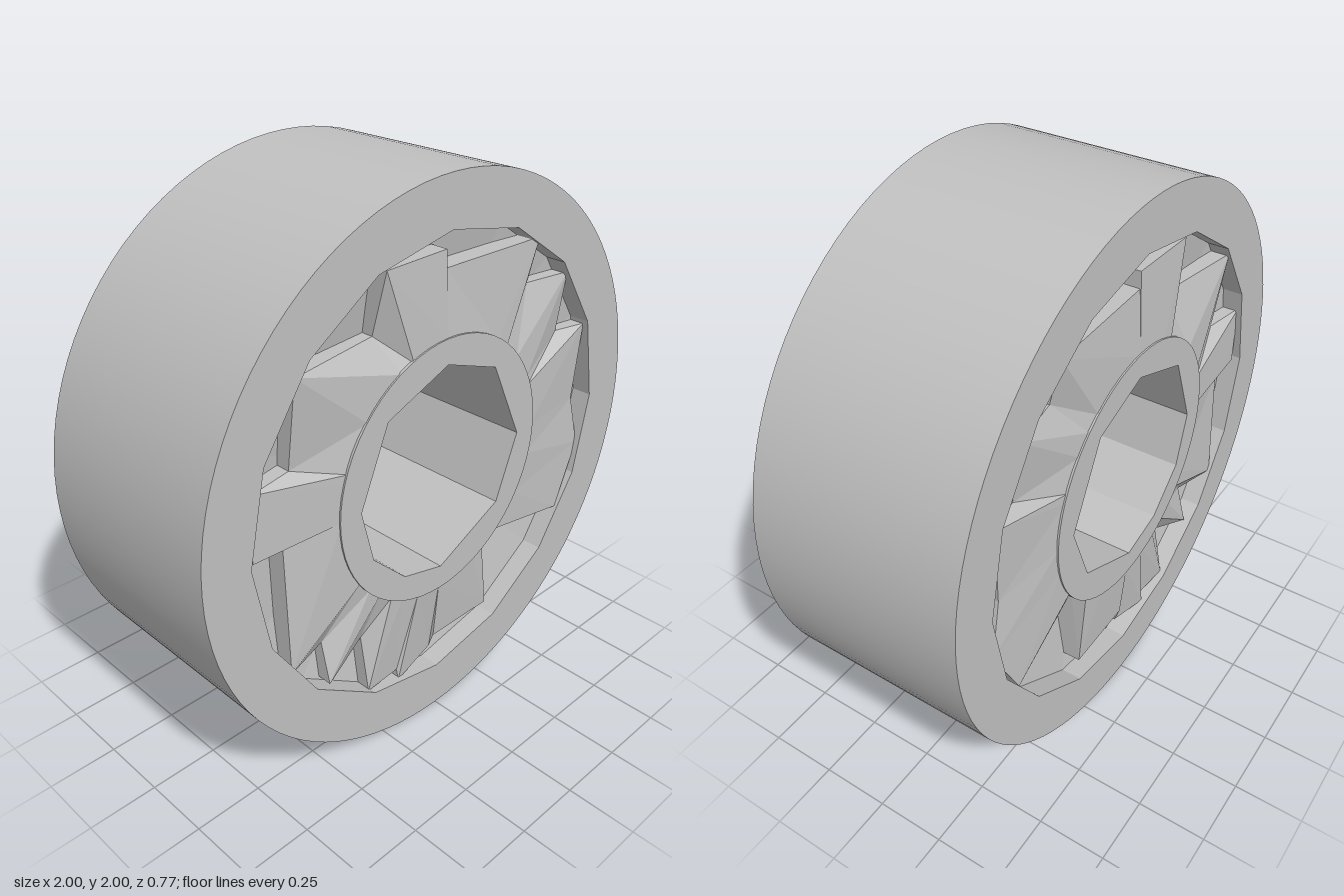
import * as THREE from 'three';
import { toCreasedNormals } from 'three/addons/utils/BufferGeometryUtils.js';

const HALF = 0.383; // half of the bearing width

export function createModel() {
  const model = new THREE.Group();
  const steel = new THREE.MeshStandardMaterial({ color: 0xc0c0c0 });
  const wheel = new THREE.Group();
  wheel.name = 'bearing';
  wheel.position.y = 1;
  model.add(wheel);

  const add = (name, geometry) => {
    const mesh = new THREE.Mesh(geometry, steel);
    mesh.name = name;
    wheel.add(mesh);
  };
  const circle = (r, n) => Array.from({ length: n }, (_, i) => {
    const a = (i / n) * Math.PI * 2;
    return new THREE.Vector2(r * Math.cos(a), r * Math.sin(a));
  });
  // flat-faced ring with a hole; shallow edges smoothed, coarse ones kept
  const ring = (outer, hole) => {
    const shape = new THREE.Shape(outer);
    shape.holes.push(new THREE.Path(hole));
    const g = new THREE.ExtrudeGeometry(shape, { depth: HALF * 2, bevelEnabled: false });
    g.translate(0, 0, -HALF);
    return toCreasedNormals(g, 0.2);
  };

  add('outerRing', ring(circle(1, 96), circle(0.825, 16)));

  // inner ring with an irregular faceted bore
  const bore = [[0, 0.385], [0.24, 0.3], [0.385, 0], [0.29, -0.245], [0, -0.385],
    [-0.18, -0.34], [-0.33, -0.2], [-0.385, 0], [-0.27, 0.28]]
    .map(([x, y]) => new THREE.Vector2(x, y));
  add('innerRing', ring(circle(0.475, 64), bore));

  // recessed web behind the cage, shallow cone on both sides
  const web = new THREE.LatheGeometry([
    new THREE.Vector2(0.46, -0.24), new THREE.Vector2(0.84, -0.31),
    new THREE.Vector2(0.84, 0.31), new THREE.Vector2(0.46, 0.24),
  ], 16).rotateX(Math.PI / 2).toNonIndexed();
  web.computeVertexNormals();
  add('web', web);

  // stepped cage outline, clockwise: x, y, and depth of each corner
  const steps = [
    [-0.27, 0.54, 0.31], [-0.27, 0.76, 0.37], [0, 0.76, 0.36], [0, 0.7, 0.36],
    [0.45, 0.7, 0.37], [0.45, 0.53, 0.33], [0.64, 0.53, 0.36], [0.64, 0.3, 0.33],
    [0.77, 0.3, 0.36], [0.75, 0, 0.35], [0.8, -0.2, 0.36], [0.68, -0.44, 0.37],
    [0.29, -0.37, 0.32], [0.29, -0.7, 0.36], [0, -0.7, 0.36], [0, -0.76, 0.34],
    [-0.18, -0.8, 0.36], [-0.18, -0.76, 0.35], [-0.33, -0.76, 0.36], [-0.33, -0.55, 0.32],
    [-0.51, -0.62, 0.36], [-0.51, -0.47, 0.32], [-0.68, -0.47, 0.37], [-0.68, 0, 0.35],
    [-0.8, 0, 0.36], [-0.8, 0.23, 0.36], [-0.63, 0.23, 0.33], [-0.63, 0.54, 0.37],
  ].reverse();
  const positions = [];
  const quad = (a, b, c, d) => positions.push(...a, ...b, ...c, ...a, ...c, ...d);
  const innerPoint = ([x, y], side) => {
    const k = 0.465 / Math.hypot(x, y);
    return [x * k, y * k, side * 0.378];
  };
  steps.forEach((p, i) => {
    const q = steps[(i + 1) % steps.length];
    const pBack = [p[0], p[1], -p[2]];
    const qBack = [q[0], q[1], -q[2]];
    quad(innerPoint(p, 1), p, q, innerPoint(q, 1)); // front panel
    quad(innerPoint(q, -1), qBack, pBack, innerPoint(p, -1)); // back panel
    quad(p, pBack, qBack, q); // stepped edge
  });
  const cage = new THREE.BufferGeometry();
  cage.setAttribute('position', new THREE.Float32BufferAttribute(positions, 3));
  cage.computeVertexNormals();
  add('cage', cage);

  return model;
}
